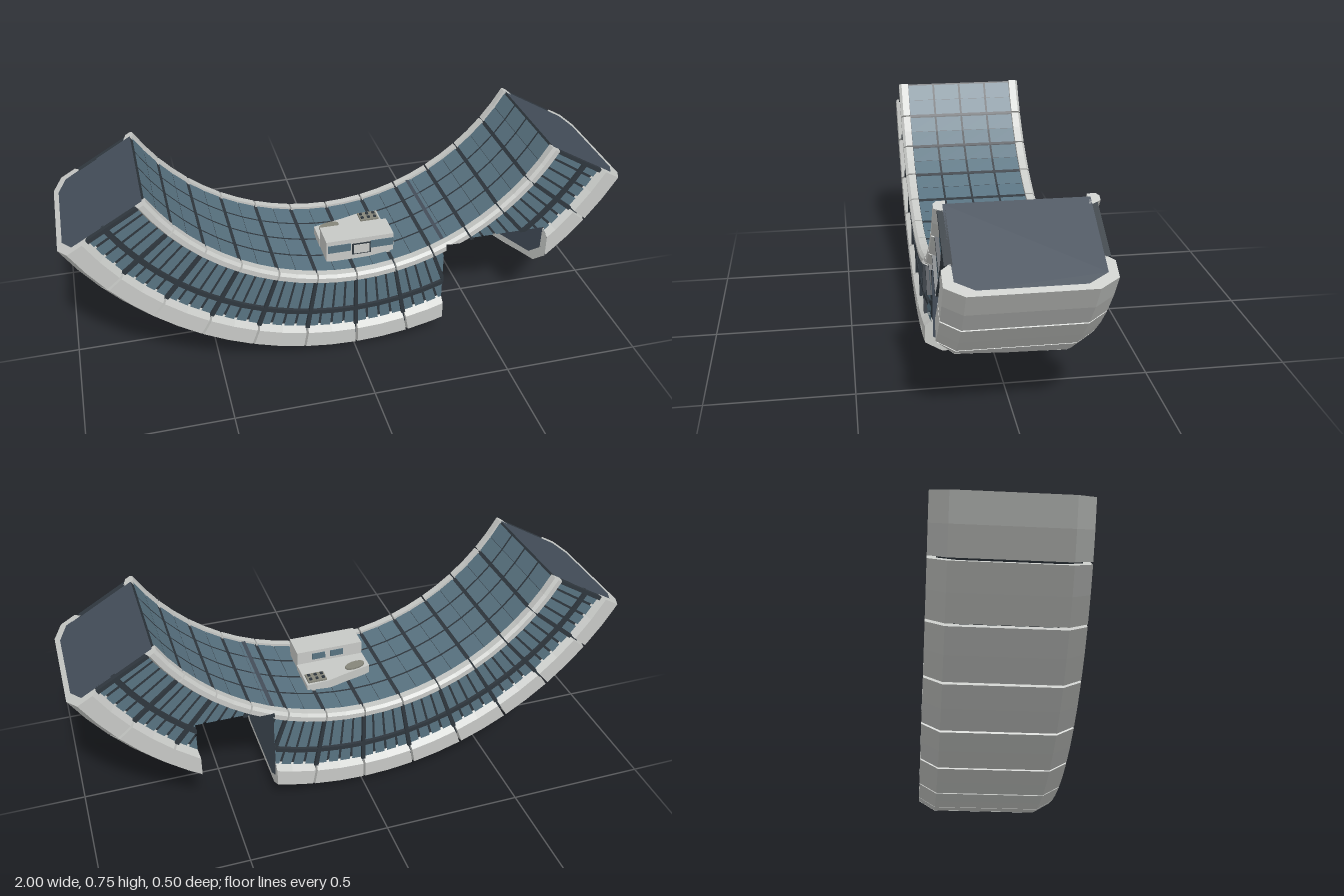
import * as THREE from 'three';

const YC = 1.155;                       // height of the ring centre
const RAD = Math.PI / 180;
const CUT_X = 0.33, CUT_Y = 0.41;       // limits of the missing section
const slantX = (z) => 0.658 + 0.245 * z;

const mat = (name, color, side = THREE.FrontSide) => {
  const m = new THREE.MeshStandardMaterial({ color, side, flatShading: true });
  m.name = name;
  return m;
};

// Point on the ring: angle from the bottom (degrees), radius, depth
const ring = (a, r, z) => [r * Math.sin(a * RAD), YC - r * Math.cos(a * RAD), z];

// Keep the part of a polygon where f >= 0
function clip(poly, f) {
  const out = [];
  poly.forEach((p, i) => {
    const q = poly[(i + 1) % poly.length], a = f(p), b = f(q);
    if (a >= 0) out.push(p);
    if ((a >= 0) !== (b >= 0)) out.push(p.map((v, k) => v + (q[k] - v) * a / (a - b)));
  });
  return out;
}

// Remove the missing section from a list of polygons
const cutPlanes = [
  (p) => p[0] - CUT_X,
  (p) => CUT_Y - p[1],
  (p) => slantX(p[2]) - p[0],
];
function breach(polys) {
  const kept = [];
  for (let poly of polys) {
    for (const f of cutPlanes) {
      kept.push(clip(poly, (p) => -f(p)));
      poly = clip(poly, f);
      if (poly.length < 3) break;
    }
  }
  return kept.filter((p) => p.length > 2);
}

function polyMesh(name, polys, material) {
  const pos = [];
  for (const p of polys) {
    for (let i = 1; i < p.length - 1; i++) pos.push(...p[0], ...p[i], ...p[i + 1]);
  }
  const g = new THREE.BufferGeometry();
  g.setAttribute('position', new THREE.Float32BufferAttribute(pos, 3));
  g.computeVertexNormals();
  const m = new THREE.Mesh(g, material);
  m.name = name;
  return m;
}

// Cross-section helpers; sections are [z, r] points
const area = (s) => s.reduce((t, p, i) => {
  const q = s[(i + 1) % s.length];
  return t + p[0] * q[1] - q[0] * p[1];
}, 0);
const ccw = (s) => (area(s) < 0 ? [...s].reverse() : s);
const mirrored = (s) => s.map(([z, r]) => [-z, r]);

function fill(section, place, flip) {
  const pts = ccw(section).map((p) => new THREE.Vector2(...p));
  return THREE.ShapeUtils.triangulateShape(pts, []).map((t) => {
    const tri = ccw(t.map((i) => [pts[i].x, pts[i].y])).map(([z, r]) => place(z, r));
    return flip ? tri.reverse() : tri;
  });
}

function sweep(section, a0, a1, steps, caps = true) {
  const s = ccw(section), out = [];
  for (let k = 0; k < steps; k++) {
    const a = a0 + (a1 - a0) * k / steps, b = a0 + (a1 - a0) * (k + 1) / steps;
    s.forEach((p, i) => {
      const q = s[(i + 1) % s.length];
      out.push([ring(a, p[1], p[0]), ring(a, q[1], q[0]), ring(b, q[1], q[0]), ring(b, p[1], p[0])]);
    });
  }
  if (caps) {
    out.push(...fill(section, (z, r) => ring(a0, r, z), true));
    out.push(...fill(section, (z, r) => ring(a1, r, z), false));
  }
  return out;
}

export function createModel() {
  const group = new THREE.Group();
  group.name = 'ringStationSection';
  const shell = mat('light hull', 0xc6c8c5, THREE.DoubleSide);
  const glass = mat('blue glass', 0x587280);
  const slate = mat('slate interior', 0x434d59, THREE.DoubleSide);
  const frame = mat('dark frame', 0x2f373e);
  const soil = mat('planting', 0x85857a);

  const core = [[0.222, 0.822], [0.222, 1.1], [0.16, 1.135], [-0.16, 1.135], [-0.222, 1.1], [-0.222, 0.822]];
  const half = [[0.19, 1.155], [0.25, 1.12], [0.25, 1.06], [0.22, 1.037], [0.218, 1.102], [0.16, 1.135]];
  const band = [...half, ...mirrored(half).reverse()];
  const rim = [[0.213, 0.81], [0.24, 0.81], [0.25, 0.82], [0.25, 0.838], [0.225, 0.85], [0.213, 0.85]];
  const beam = [[0.215, 0.967], [0.238, 0.967], [0.238, 0.983], [0.215, 0.983]];
  const post = [[0.215, 0.845], [0.24, 0.845], [0.24, 1.045], [0.215, 1.045]];

  // Dark core and its end bulkheads
  group.add(polyMesh('core', breach(sweep(core, -60, 60, 24, false)), frame));
  const ends = [-60, 60].flatMap((a) => fill(core, (z, r) => ring(a, r, z), a < 0));
  group.add(polyMesh('endBulkheads', ends, slate));

  // Hull plating and inner rims, one panel per ten degrees with narrow gaps
  const plates = [], rims = [], frames = [];
  for (let a = -60; a < 60; a += 10) {
    const a0 = a + (a > -60 ? 0.22 : 0), a1 = a + 10 - (a < 50 ? 0.22 : 0);
    plates.push(...sweep(band, a0, a1, 2));
    for (const s of [rim, mirrored(rim)]) rims.push(...sweep(s, a0, a1, 2));
  }
  // Side ledges and posts
  for (const s of [beam, mirrored(beam)]) frames.push(...sweep(s, -60, 60, 24));
  for (let a = -60; a <= 60; a += 10) {
    const c = Math.max(-59.6, Math.min(59.6, a));
    for (const s of [post, mirrored(post)]) frames.push(...sweep(s, c - 0.4, c + 0.4, 1));
  }
  group.add(polyMesh('outerPlating', breach(plates), shell));
  group.add(polyMesh('innerRims', breach(rims), shell));
  group.add(polyMesh('sideFrames', breach(frames), frame));

  // Side windows: two rows of narrow panes on each side
  const panes = [];
  for (let a = -60; a < 60; a += 2.5) {
    for (const [r0, r1] of [[0.848, 0.965], [0.985, 1.045]]) {
      const b = a + 0.25, c = a + 2.25, z = 0.228;
      panes.push([ring(b, r1, z), ring(c, r1, z), ring(c, r0, z), ring(b, r0, z)]);
      panes.push([ring(b, r0, -z), ring(c, r0, -z), ring(c, r1, -z), ring(b, r1, -z)]);
    }
  }
  group.add(polyMesh('sideWindows', breach(panes), glass));

  // Inner floor glazing
  const floor = [];
  for (let a = -60; a < 60; a += 5) {
    const b = a + (a % 10 === 0 ? 0.5 : 0.05), c = a + 5 - (a % 10 === 0 ? 0.05 : 0.5);
    for (let k = 0; k < 4; k++) {
      const z0 = -0.215 + k * 0.1075 + 0.004, z1 = z0 + 0.0995, r = 0.817;
      floor.push([ring(b, r, z0), ring(b, r, z1), ring(c, r, z1), ring(c, r, z0)]);
    }
  }
  group.add(polyMesh('floorGlazing', breach(floor), glass));

  // Exposed faces around the missing section
  const onPlane = (xf) => (z, r) => [xf(z), YC - Math.sqrt(r * r - xf(z) ** 2), z];
  const below = (polys) => polys.map((p) => clip(p, (q) => CUT_Y - q[1])).filter((p) => p.length > 2);
  const straight = onPlane(() => CUT_X), slanted = onPlane(slantX);
  const faces = [...below(fill(core, straight, false)), ...below(fill(core, slanted, true))];
  faces.push([[0.32, CUT_Y, -0.222], [slantX(-0.222), CUT_Y, -0.222],
    [slantX(0.222), CUT_Y, 0.222], [0.32, CUT_Y, 0.222]]);
  group.add(polyMesh('breachFaces', faces, slate));
  group.add(polyMesh('breachHullEdges',
    [...below(fill(band, straight, false)), ...below(fill(band, slanted, true))], shell));

  // Small lodge on the inner floor
  const lodge = new THREE.Group();
  lodge.name = 'lodge';
  const box = (name, m, w, h, d, x, y, z) => {
    const b = new THREE.Mesh(new THREE.BoxGeometry(w, h, d), m);
    b.name = name;
    b.position.set(x, y, z);
    lodge.add(b);
  };
  box('lodgeBody', shell, 0.25, 0.085, 0.1, 0.037, 0.3825, 0.1);
  for (const x of [-0.04, 0.118]) box('lodgeWindow', glass, 0.085, 0.03, 0.004, x, 0.393, 0.151);
  box('doorFrame', frame, 0.07, 0.045, 0.004, 0.042, 0.382, 0.151);
  box('door', shell, 0.058, 0.036, 0.006, 0.042, 0.382, 0.152);
  for (const x of [0.01, 0.08]) box('rearWindow', glass, 0.05, 0.025, 0.004, x, 0.4, 0.049);

  // Terrace with planting beds behind the lodge
  const outline = [[-0.09, -0.05], [0.165, -0.05], [0.165, 0.085], [0.08, 0.08], [0.02, 0.062], [-0.09, 0.035]];
  const terrace = new THREE.Mesh(new THREE.ExtrudeGeometry(
    new THREE.Shape(outline.map((p) => new THREE.Vector2(...p))), { depth: 0.035, bevelEnabled: false }), shell);
  terrace.name = 'terrace';
  terrace.rotation.x = -Math.PI / 2;
  terrace.position.y = 0.34;
  lodge.add(terrace);
  box('squareBed', soil, 0.07, 0.008, 0.05, 0.122, 0.377, -0.05);
  const bed = new THREE.Mesh(new THREE.CylinderGeometry(0.04, 0.04, 0.008, 16), soil);
  bed.name = 'ovalBed';
  bed.scale.z = 0.5;
  bed.rotation.y = 0.25;
  bed.position.set(-0.037, 0.377, -0.022);
  lodge.add(bed);
  for (let i = 0; i < 6; i++) {
    box('shrub', frame, 0.01, 0.012, 0.01, 0.097 + (i % 3) * 0.024, 0.38, -0.062 + Math.floor(i / 3) * 0.024);
  }
  group.add(lodge);
  return group;
}
